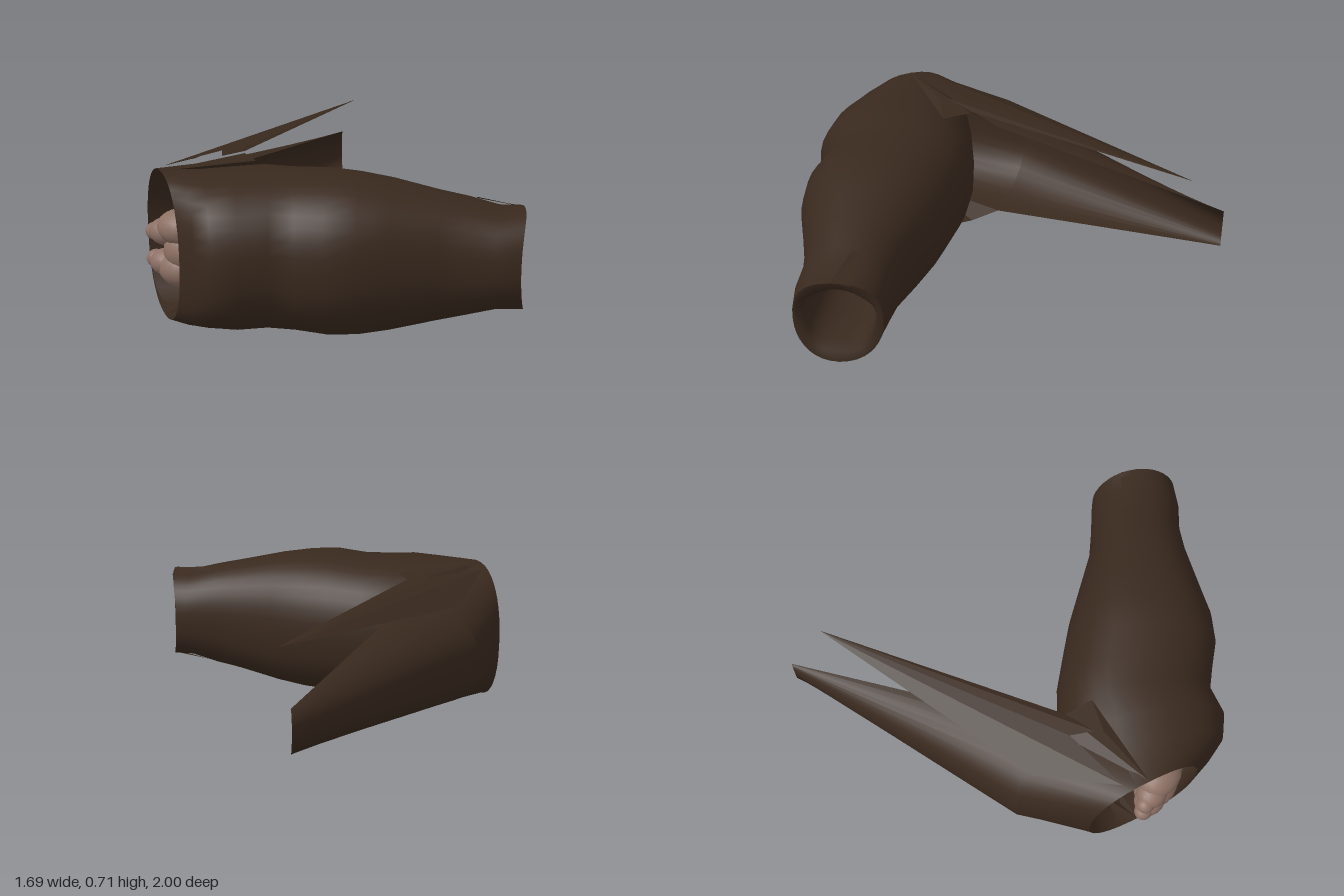
import * as THREE from 'three';

const hide = new THREE.MeshStandardMaterial({ color: 0x39291e, side: THREE.DoubleSide });
hide.name = 'dark brown hide';
const flesh = new THREE.MeshStandardMaterial({ color: 0x8c7064, side: THREE.DoubleSide });
flesh.name = 'pinkish flesh';

// Skin a grid of points (rows of equal length) into a surface
function skin(name, rows, closed, material = hide) {
  const n = rows[0].length, pos = rows.flat(2), index = [];
  for (let i = 0; i < rows.length - 1; i++) {
    for (let j = 0; j < (closed ? n : n - 1); j++) {
      const k = (j + 1) % n, a = i * n + j, b = i * n + k, c = a + n, d = b + n;
      index.push(a, b, d, a, d, c);
    }
  }
  const g = new THREE.BufferGeometry();
  g.setAttribute('position', new THREE.Float32BufferAttribute(pos, 3));
  g.setIndex(index);
  g.computeVertexNormals();
  const mesh = new THREE.Mesh(g, material);
  mesh.name = name;
  return mesh;
}

const soft = (v, e) => Math.sign(v) * Math.pow(Math.abs(v), e);

// Rounded loop: back (x, z), front (x, z), bottom y, top y, outward bow of top and bottom
function loop([xb, zb, xf, zf, y0, y1, bow = 0], wave = 0) {
  const pts = [], sides = 36;
  for (let j = 0; j < sides; j++) {
    const a = j / sides * Math.PI * 2, s = 1 + wave * Math.sin(5 * a);
    const u = soft(Math.cos(a), 0.88) * s, v = soft(Math.sin(a), 0.88) * s;
    pts.push([(xb + xf) / 2 + u * (xf - xb) / 2 + bow * (1 - u * u),
      (y0 + y1) / 2 + v * (y1 - y0) / 2, (zb + zf) / 2 + u * (zf - zb) / 2]);
  }
  return pts;
}

// Flat panel from a fan of corners
function panel(name, corners) {
  const index = [];
  for (let i = 1; i < corners.length - 1; i++) index.push(0, i, i + 1);
  let g = new THREE.BufferGeometry();
  g.setAttribute('position', new THREE.Float32BufferAttribute(corners.flat(), 3));
  g.setIndex(index);
  g = g.toNonIndexed();
  g.computeVertexNormals();
  const mesh = new THREE.Mesh(g, hide);
  mesh.name = name;
  return mesh;
}

export function createModel() {
  const model = new THREE.Group();

  // Main hollow sleeve, from the slanted mouth to the narrow end
  const sections = [
    [-0.85, 0.37, -0.60, 0.86, 0.025, 0.69],
    [-0.76, 0.33, -0.52, 0.93, 0.02, 0.69],
    [-0.64, 0.29, -0.44, 0.985, 0.02, 0.69],
    [-0.48, 0.25, -0.33, 0.995, 0.015, 0.70],
    [-0.34, 0.225, -0.21, 0.935, 0.01, 0.705],
    [-0.20, 0.225, -0.10, 0.95, 0.01, 0.70],
    [0.0, 0.26, 0.02, 0.97, 0.003, 0.71],
    [0.13, 0.285, 0.15, 0.955, 0.01, 0.70],
    [0.27, 0.325, 0.28, 0.91, 0.03, 0.68],
    [0.48, 0.385, 0.48, 0.845, 0.075, 0.635],
    [0.60, 0.395, 0.60, 0.82, 0.10, 0.61],
    [0.73, 0.40, 0.73, 0.82, 0.135, 0.575],
    [0.78, 0.405, 0.83, 0.80, 0.135, 0.575, 0.035],
  ];
  model.add(skin('sleeve', sections.map(s => loop(s)), true));

  // Ragged lip folding into the narrow opening, and its lining
  const liningEnd = loop([0.30, 0.46, 0.30, 0.75, 0.23, 0.49]);
  model.add(skin('narrowLip', [
    loop([0.78, 0.405, 0.83, 0.80, 0.135, 0.575, 0.035]),
    loop([0.79, 0.43, 0.83, 0.78, 0.18, 0.535, 0.02], 0.03),
    loop([0.78, 0.44, 0.80, 0.76, 0.22, 0.50], 0.03),
    loop([0.60, 0.44, 0.60, 0.76, 0.21, 0.51]),
    liningEnd,
  ], true));

  // Flesh ring deep inside, around a dark plug
  const ringEnd = loop([-0.10, 0.465, -0.10, 0.72, 0.26, 0.44]);
  model.add(skin('innerRing', [liningEnd, ringEnd], true, flesh));
  model.add(panel('innerPlug', ringEnd));

  // Small folds on the narrow end
  for (const s of [1, -1]) {
    model.add(panel('lipFold', [
      [0.63, 0.355 + s * 0.235, 0.53], [0.83, 0.355 + s * 0.205, 0.53],
      [0.84, 0.355 + s * 0.225, 0.61], [0.64, 0.355 + s * 0.25, 0.57]]));
  }

  // Outer wrap round the bend, a deep C that tapers into the long strip
  const wrap = [], bend = [], end = [];
  for (let j = 0; j <= 20; j++) {
    const a = Math.PI * (0.5 + j / 20), c = Math.max(-Math.cos(a), 0), s = Math.sin(a);
    const q = soft(c, 0.88);
    wrap.push([-0.725 - 0.125 * q, 0.36 + 0.33 * soft(s, 0.88), 0.615 - 0.245 * q]);
    bend.push([-0.43 - 0.35 * c, 0.36 + 0.25 * soft(s, 0.7), 0.12 - 0.08 * c]);
    end.push([-0.115 - 0.005 * c, 0.37 + 0.10 * s, -1]);
  }
  model.add(skin('outerWrap', [wrap, bend], false));
  model.add(skin('longStrip', [bend, end], false));

  // Flaps joining the wrap to the sleeve above and below
  for (const s of [1, -1]) {
    model.add(panel(s > 0 ? 'upperFlap' : 'lowerFlap', [
      [-0.725, 0.36 + s * 0.33, 0.615], [-0.43, 0.36 + s * 0.25, 0.12],
      [-0.42, 0.36 + s * 0.32, 0.25], [-0.35, 0.36 + s * 0.32, 0.37],
      [-0.50, 0.36 + s * 0.335, 0.42]]));
  }

  // Upper spike: thin blade sloping down to its outer edge
  const tip = [-0.03, 0.68, -0.85], crest = [-0.52, 0.695, 0.27];
  model.add(panel('upperSpikeOuter', [tip, [-0.68, 0.61, 0.11], [-0.74, 0.68, 0.50], crest]));
  model.add(panel('upperSpikeInner', [tip, crest, [-0.50, 0.70, 0.38], [-0.42, 0.69, 0.25]]));

  // Rounded lobes showing inside the wide mouth
  const lobes = [
    [-0.755, 0.42, 0.62, 0.045, 0.04, 0.042],
    [-0.755, 0.295, 0.62, 0.045, 0.04, 0.042],
    [-0.70, 0.43, 0.65, 0.08, 0.06, 0.07],
    [-0.70, 0.29, 0.65, 0.08, 0.06, 0.07],
    [-0.62, 0.46, 0.68, 0.12, 0.08, 0.10],
    [-0.62, 0.275, 0.68, 0.12, 0.085, 0.10],
    [-0.59, 0.36, 0.68, 0.12, 0.10, 0.11],
    [-0.50, 0.36, 0.66, 0.18, 0.15, 0.16],
  ];
  const core = new THREE.Group();
  core.name = 'innerLobes';
  for (const [x, y, z, a, b, c] of lobes) {
    const m = new THREE.Mesh(new THREE.SphereGeometry(1, 18, 12), flesh);
    m.name = 'lobe';
    m.position.set(x, y, z);
    m.scale.set(a, b, c);
    m.rotation.y = -0.45;
    core.add(m);
  }
  model.add(core);
  return model;
}
